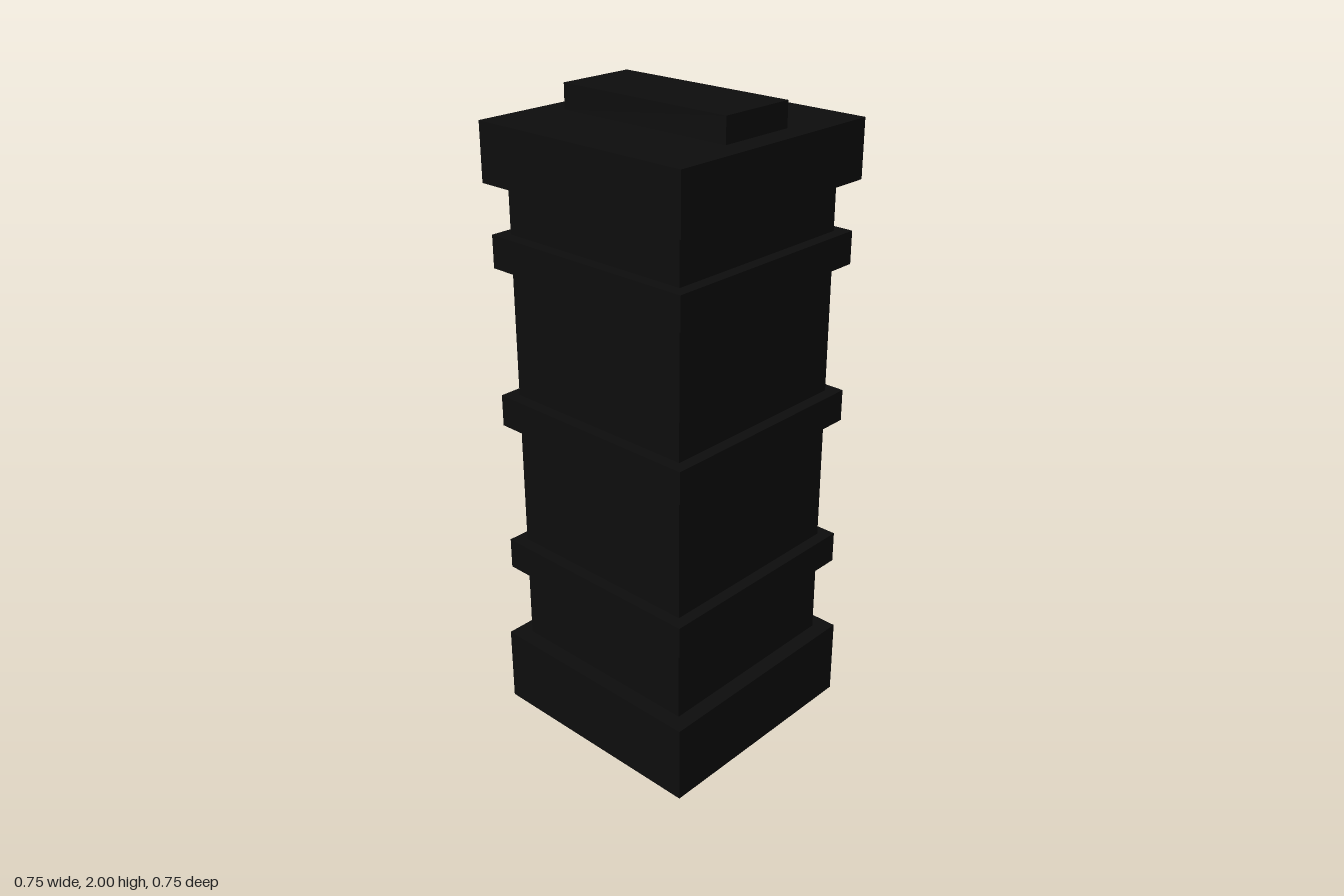
import * as THREE from 'three';

export function createModel() {
  const model = new THREE.Group();
  model.name = 'tower';

  const black = new THREE.MeshStandardMaterial({ color: 0x0d0d0d });
  black.name = 'matte black';

  // Box spanning bottom..top, centred on x and z
  function block(name, width, depth, bottom, top) {
    const mesh = new THREE.Mesh(new THREE.BoxGeometry(width, top - bottom, depth), black);
    mesh.name = name;
    mesh.position.y = (bottom + top) / 2;
    model.add(mesh);
  }

  block('base', 0.75, 0.75, 0, 0.25);
  block('shaft', 0.65, 0.65, 0.25, 1.75);

  // Raised bands around the shaft
  [0.5, 1.0, 1.5].forEach((y, i) => block(`band${i + 1}`, 0.725, 0.725, y, y + 0.1));

  block('cap', 0.75, 0.75, 1.75, 1.925);
  block('topRidge', 0.25, 0.6, 1.925, 2);

  return model;
}
